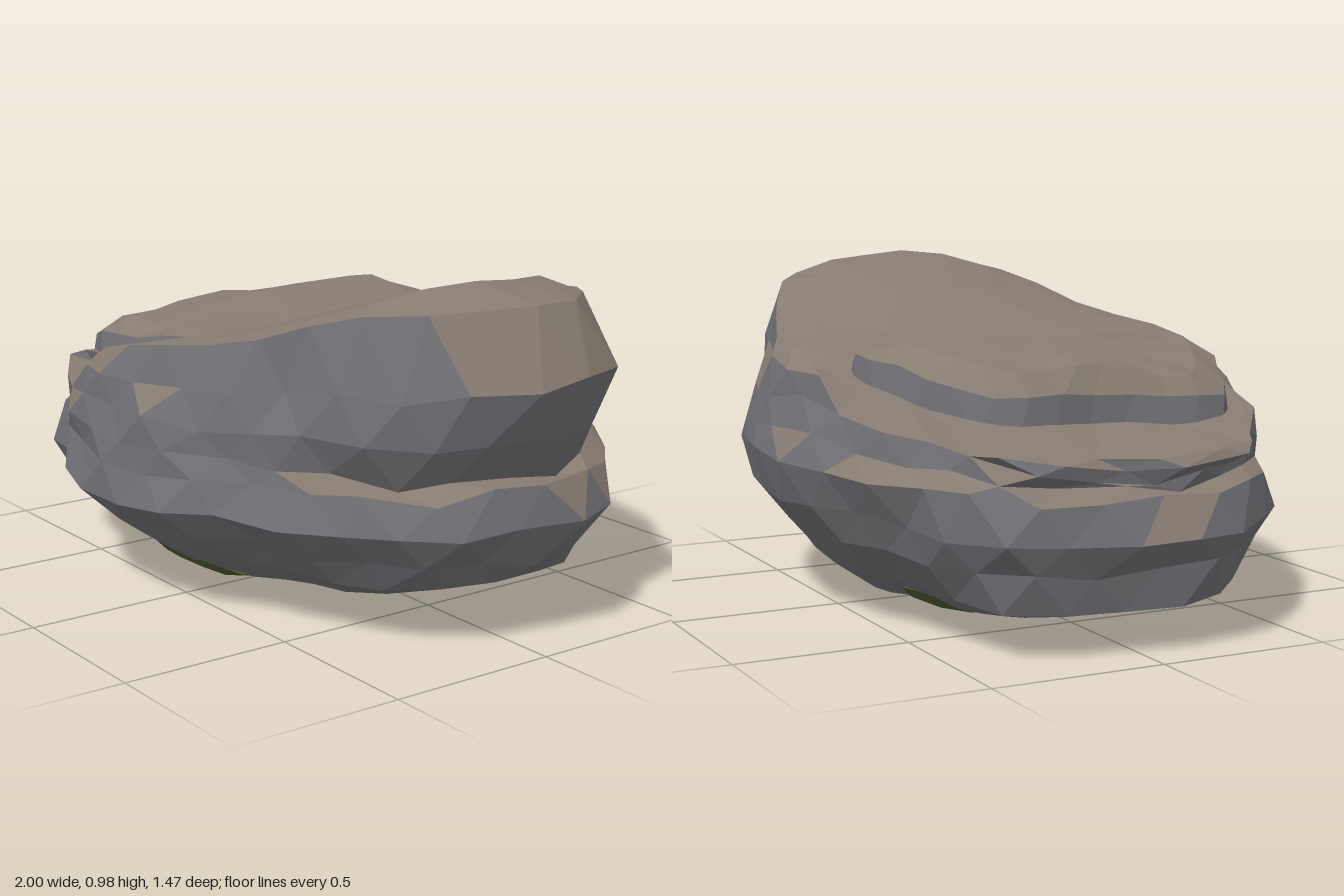
import * as THREE from 'three';

const N = 30; // points per loop
let seed = 7;
const jitter = (a) => {
  seed = (seed * 16807) % 2147483647;
  return (seed / 2147483647 - 0.5) * 2 * a;
};

// Closed plan curve from [x, z] points, sampled at 2N so alternate loops can be staggered
const plan = (pts) => new THREE.CatmullRomCurve3(
  pts.map(([x, z]) => new THREE.Vector3(x, 0, z)), true).getSpacedPoints(2 * N).slice(0, 2 * N);
const pick = (outline, k) => outline.filter((_, i) => i % 2 === k % 2);

// Staggered triangle skin over loops from bottom to top, split into steep and upward faces
function loft(loops) {
  const steep = [], upward = [];
  const tri = (a, b, c) => {
    const n = b.clone().sub(a).cross(c.clone().sub(a));
    if (n.length() < 1e-8) return;
    const target = n.normalize().y > 0.42 ? upward : steep;
    for (const p of [a, b, c]) target.push(p.x, p.y, p.z);
  };
  for (let k = 0; k < loops.length - 1; k++) {
    const lo = loops[k], hi = loops[k + 1];
    for (let i = 0; i < N; i++) {
      const j = (i + 1) % N;
      if (k % 2 === 0) { tri(lo[i], hi[i], lo[j]); tri(hi[i], hi[j], lo[j]); }
      else { tri(lo[i], hi[i], hi[j]); tri(lo[i], hi[j], lo[j]); }
    }
  }
  return [steep, upward].map((pos) => {
    const g = new THREE.BufferGeometry();
    g.setAttribute('position', new THREE.Float32BufferAttribute(pos, 3));
    g.computeVertexNormals();
    return g;
  });
}

// Sloping top: low at -x, high at +x, falling off again near the right end
const slope = (x, z) => (x < 0 ? 0.745 + 0.25 * x
  : Math.min(0.965, 0.745 + 0.33 * x) - 0.6 * x * z * z - 0.3 * Math.max(0, x - 0.76));

// Wall levels: [scale, height] towards right (+x), front (+z), left (-x), back (-z)
const WALL = [
  [[0, 0], [0, 0], [0, 0], [0, 0]],
  [[0.3, 0.02], [0.3, 0.005], [0.3, 0.005], [0.3, 0.005]],
  [[0.62, 0.09], [0.51, 0.03], [0.65, 0.05], [0.51, 0.03]],
  [[0.85, 0.16], [0.77, 0.14], [0.92, 0.12], [0.72, 0.12]],
  [[0.91, 0.23], [0.92, 0.24], [0.95, 0.22], [0.88, 0.25]],
  [[0.98, 0.33], [1.025, 0.32], [1, 0.3], [0.96, 0.34]],
  [[0.95, 0.44], [1, 0.41], [0.96, 0.42], [1.03, 0.45]],
  [[0.88, 0.45], [0.985, 0.48], [0.91, 0.435], [0.99, 0.53]],
  [[0.95, 0.57], [0.965, 0.56], [0.91, 0.46], [0.95, 0.62]],
  [[1, 0.73], [0.925, 0.645], [0.92, 0.485], [0.9, 0.71]],
];
// Top levels: scale towards right, front, left, back
const TOP = [
  [0.9, 0.87, 0.92, 0.86], [0.74, 0.74, 0.74, 0.72], [0.4, 0.4, 0.4, 0.4], [0, 0, 0, 0],
];

function bodyLoops() {
  const outline = plan([
    [1, -0.05], [0.95, 0.2], [0.9, 0.3], [0.7, 0.46], [0.52, 0.52], [0.3, 0.63], [0.05, 0.72],
    [-0.27, 0.69], [-0.5, 0.59], [-0.7, 0.53], [-0.85, 0.38], [-0.99, 0.17], [-0.97, -0.05],
    [-0.94, -0.25], [-0.91, -0.39], [-0.78, -0.48], [-0.55, -0.56], [-0.4, -0.63],
    [-0.04, -0.73], [0.2, -0.7], [0.44, -0.62], [0.6, -0.55], [0.8, -0.42], [0.95, -0.29],
  ]);
  const tip = new THREE.Vector3(-0.95, 0.51, 0.4);
  const blend = (p, [right, front, left, back], power) => {
    const c = Math.abs(p.x) ** power, s = (Math.abs(p.z) / 0.73) ** power;
    return ((p.x > 0 ? right : left) * c + (p.z > 0 ? front : back) * s) / (c + s);
  };
  const place = (x, y, z, j) => new THREE.Vector3(x + jitter(j), y + jitter(j), z + jitter(j));

  const wall = WALL.map((level, k) => pick(outline, k).map((p) => {
    const s = blend(p, level.map((e) => e[0]), 4), y = blend(p, level.map((e) => e[1]), 2);
    return place(p.x * s, y, p.z * s, k < 2 ? 0 : k < 4 ? 0.007 : 0.018);
  }));
  const top = TOP.map((level, k) => pick(outline, k + WALL.length).map((p) => {
    const s = blend(p, level, 1), x = p.x * s, z = p.z * s;
    return place(x, slope(x, z), z, k < 2 ? 0.008 : 0);
  }));
  // Pointed corner at the low end of the top
  for (const v of [...wall[WALL.length - 1], ...top[0]]) {
    const d = Math.max(0, Math.hypot(v.x - tip.x, v.z - tip.z) - 0.07);
    v.lerp(tip, Math.exp(-d * d / 0.012));
  }
  return [...wall, ...top];
}

// Raised layer on the low end of the top, sinking into the slope towards +x
function slabLoops() {
  const outline = plan([
    [0.1, -0.3], [0.1, 0.3], [-0.08, 0.52], [-0.3, 0.55], [-0.5, 0.49], [-0.69, 0.34],
    [-0.65, 0], [-0.66, -0.28], [-0.5, -0.43], [-0.2, -0.53],
  ]);
  const steps = [[1.03, -1], [0.98, 0.6], [0.84, 1], [0.45, 0.95], [0, 0.95]];
  return steps.map(([s, rise], k) => pick(outline, k).map((p) => {
    const x = -0.3 + (p.x + 0.3) * s, z = p.z * s;
    const height = Math.min(0.13, -0.4 * x) * (1 - 0.4 * Math.max(0, z / 0.55));
    const j = k === 1 || k === 2 ? 0.009 : 0;
    const y = slope(x, z) + (rise < 0 ? -0.07 : rise * height);
    return new THREE.Vector3(x + jitter(j), y + jitter(j), z + jitter(j));
  }));
}

export function createModel() {
  const group = new THREE.Group();
  const material = (color) => new THREE.MeshStandardMaterial({ color, flatShading: true });
  const stone = material(0x707075), weathered = material(0x877c72), moss = material(0x4b5932);
  const add = (name, geometry, mat) => {
    const mesh = new THREE.Mesh(geometry, mat);
    mesh.name = name;
    group.add(mesh);
    return mesh;
  };
  const addRock = (name, loops) => {
    const [steep, upward] = loft(loops);
    add(name + 'Sides', steep, stone);
    add(name + 'UpperFaces', upward, weathered);
  };

  addRock('boulder', bodyLoops());
  addRock('raisedLayer', slabLoops());

  // Moss patches on the underside: centre, half-widths in x and z, tilt about x and z
  const patches = [
    [[-0.1, 0.065, 0.37], 0.25, 0.12, -0.42, 0],
    [[0.14, 0.055, -0.29], 0.19, 0.14, 0.38, 0.05],
    [[-0.25, 0.055, -0.28], 0.19, 0.14, 0.32, -0.08],
    [[-0.36, 0.04, 0.08], 0.11, 0.08, 0, -0.08],
  ];
  for (const [centre, rx, rz, tiltX, tiltZ] of patches) {
    const patch = add('mossPatch', new THREE.SphereGeometry(1, 8, 5), moss);
    patch.position.set(...centre);
    patch.scale.set(rx, 0.045, rz);
    patch.rotation.set(tiltX, 0, tiltZ);
  }

  // Centre on the ground
  const box = new THREE.Box3().setFromObject(group, true);
  const mid = box.getCenter(new THREE.Vector3());
  group.position.set(-mid.x, -box.min.y, -mid.z);
  return group;
}
